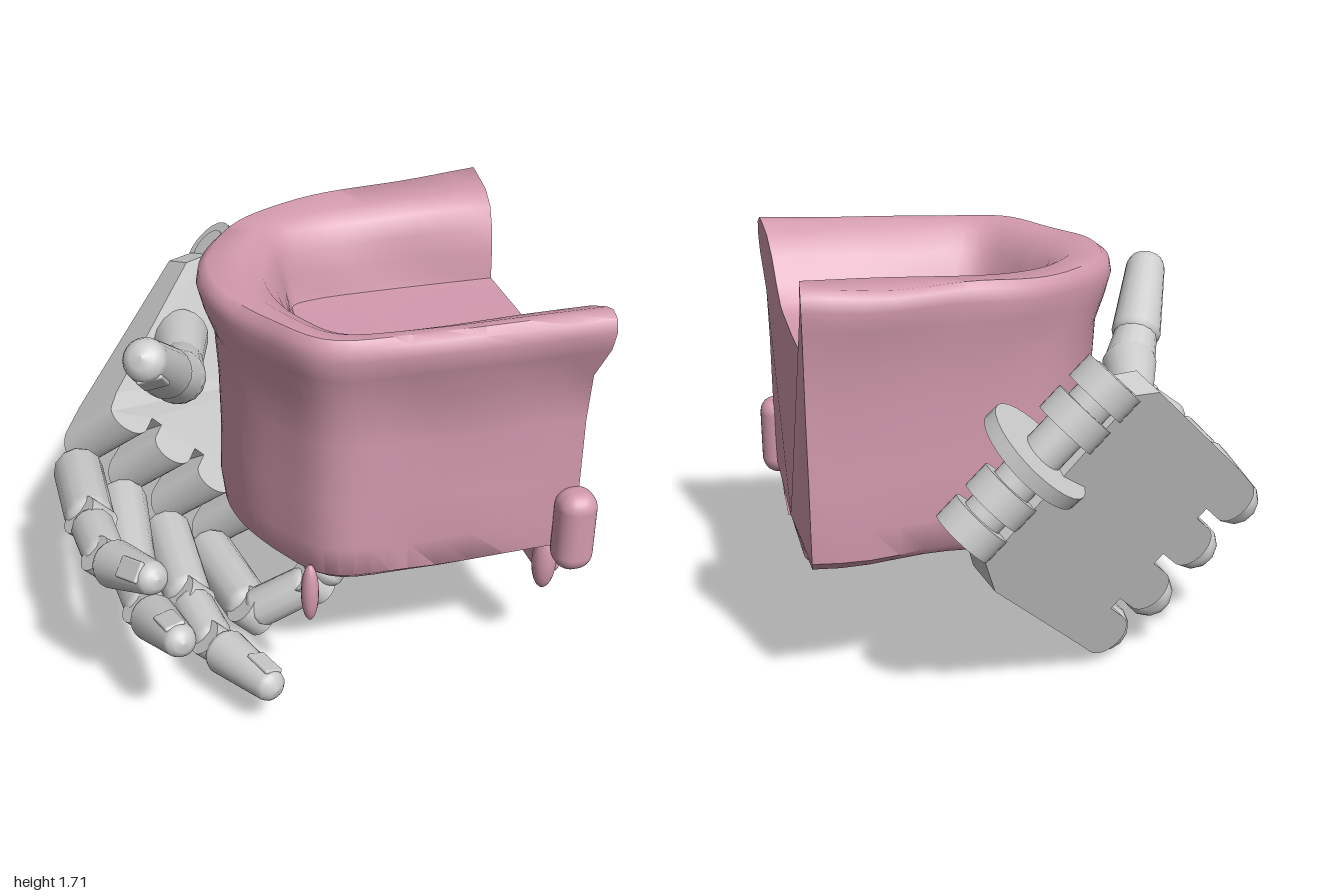
import * as THREE from 'three';
import { toCreasedNormals } from 'three/addons/utils/BufferGeometryUtils.js';
import { RoundedBoxGeometry } from 'three/addons/geometries/RoundedBoxGeometry.js';

const V = (x, y, z) => new THREE.Vector3(x, y, z);
const grey = new THREE.MeshStandardMaterial({ color: 0xcccccc, side: THREE.DoubleSide });
const pink = new THREE.MeshStandardMaterial({ color: 0xd39aae, side: THREE.DoubleSide });

function add(parent, name, geometry, material, pos = V(0, 0, 0)) {
  const mesh = new THREE.Mesh(geometry, material);
  mesh.name = name;
  mesh.position.copy(pos);
  parent.add(mesh);
  return mesh;
}

function fromIndexed(points, index) {
  const g = new THREE.BufferGeometry();
  g.setAttribute('position', new THREE.Float32BufferAttribute(points.flatMap(p => [p.x, p.y, p.z]), 3));
  g.setIndex(index);
  g.computeVertexNormals();
  return g;
}

// Tub armchair open towards +x: one profile swept around a U-shaped plan
function buildChair() {
  const chair = new THREE.Group();
  chair.name = 'armchair';
  const plan = pts => new THREE.CatmullRomCurve3(pts.map(([x, z]) => V(x, 0, z)));
  const outer = plan([[.94, -.535], [.4, -.49], [.1, -.44], [-.15, -.32], [-.33, -.12], [-.41, .08],
    [-.4, .33], [-.28, .6], [-.12, .83], [.2, .89], [.95, .94]]);
  const inner = plan([[.9, -.13], [.4, -.14], [.12, -.13], [.03, -.1], [.01, 0], [0, .15],
    [0, .3], [.01, .45], [.08, .55], [.4, .56], [.9, .5]]);
  // [fraction from outer to inner plan, height]
  const profile = [[.36, .575], [.2, .62], [.16, .75], [.17, .95], [.16, 1.2], [.12, 1.4], [.05, 1.54], [0, 1.62],
    [.02, 1.67], [.1, 1.695], [.4, 1.69], [.62, 1.65], [.76, 1.57], [.86, 1.47], [.94, 1.39], [1, 1.36]];
  const N = 48, pts = [], index = [], M = profile.length + 2;
  for (let i = 0; i <= N; i++) {
    const f = i / N, o = outer.getPoint(f), n = inner.getPoint(f);
    pts.push(V(Math.max(o.x, .1), .575, .2));
    profile.forEach(([t, y], j) => {
      // the +z arm is thinner and leans out, the other is fuller inside
      const shift = j > 9 ? .9 * t * (1 - t) * (1 - 2 * f) : y < 1.5 ? .14 * f * f : 0;
      const p = o.clone().lerp(n, t + shift);
      const wob = .008 * Math.sin(9 * p.x + 7 * y) * Math.cos(8 * p.z - 5 * y);
      const sag = .025 * (.5 - p.x) * (y > 1.5 ? 1 : 0);
      pts.push(V(p.x, y + wob - sag, p.z + wob));
    });
    pts.push(V(Math.max(n.x, .3), 1.355, .2));
  }
  for (let i = 0; i < N; i++) for (let j = 0; j < M - 1; j++) {
    const a = i * M + j, b = a + M;
    index.push(a, b, a + 1, b, b + 1, a + 1);
  }
  add(chair, 'shell', toCreasedNormals(fromIndexed(pts, index), .8), pink);

  // Flat end closing the two arms and the seat
  const end = [...pts.slice(0, M), ...pts.slice(N * M, N * M + M).reverse()];
  const flat = end.map(p => new THREE.Vector2(p.y, p.z));
  add(chair, 'seatFront', fromIndexed(end, THREE.ShapeUtils.triangulateShape(flat, []).flat()), pink);

  // Skirt, worn corner and sagging feet
  add(chair, 'skirt', new RoundedBoxGeometry(.1, .2, .8, 3, .03), pink, V(.865, .55, .36));
  add(chair, 'cornerLump', new RoundedBoxGeometry(.16, .35, .16, 4, .07), pink, V(.91, .725, .84));
  const blob = (name, x, y, z, sx, sy, sz) =>
    add(chair, name, new THREE.SphereGeometry(1, 18, 12), pink, V(x, y, z)).scale.set(sx, sy, sz);
  blob('frontFoot', .85, .51, .73, .05, .135, .05);
  blob('backFoot', -.13, .53, .72, .035, .13, .04);
  blob('underLump', .02, .57, -.2, .03, .04, .03);
  return chair;
}

// Rounded tapering link between two points
function link(parent, name, a, b, ra, rb, sides = 16) {
  const L = a.distanceTo(b);
  const pts = [[0, -.75 * ra], [.6 * ra, -.55 * ra], [.9 * ra, -.25 * ra], [ra, 0], [rb, L],
    [.88 * rb, L + .35 * rb], [.55 * rb, L + .65 * rb], [0, L + .8 * rb]];
  const m = add(parent, name, new THREE.LatheGeometry(pts.map(p => new THREE.Vector2(...p)), sides), grey, a);
  m.quaternion.setFromUnitVectors(V(0, 1, 0), b.clone().sub(a).normalize());
  return m;
}

function pin(parent, name, at, axis, r, len) {
  const m = add(parent, name, new THREE.CylinderGeometry(r, r, len, 28), grey, at);
  m.quaternion.setFromUnitVectors(V(0, 1, 0), axis.clone().normalize());
  return m;
}

function nail(parent, a, b, out, r) {
  const dir = b.clone().sub(a).normalize();
  const side = new THREE.Vector3().crossVectors(dir, out).normalize();
  const up = new THREE.Vector3().crossVectors(side, dir);
  const m = add(parent, 'nail', new RoundedBoxGeometry(r * 1.1, .13, .02, 2, .009), grey,
    a.clone().lerp(b, .84).addScaledVector(up, r * .86));
  m.quaternion.setFromRotationMatrix(new THREE.Matrix4().makeBasis(side, dir, up));
  m.rotateX(-.1);
}

function buildHand() {
  const hand = new THREE.Group();
  hand.name = 'hand';
  const across = V(.707, -.707, 0);

  // Palm frame: x across the knuckles, y towards the wrist, z out of the palm
  const palm = new THREE.Group();
  palm.name = 'palm';
  const along = V(.635, .635, -.44).normalize();
  palm.quaternion.setFromRotationMatrix(new THREE.Matrix4().makeBasis(across.clone().normalize(), along,
    new THREE.Vector3().crossVectors(across, along).normalize()));
  palm.position.set(-.61, .36, -.34);
  hand.add(palm);

  // Plate with four rounded prongs
  const s = new THREE.Shape();
  s.moveTo(-.49, .2);
  [-.3825, -.1275, .1275, .3825].forEach((u, i) => {
    s.lineTo(u - .1, .09);
    s.absarc(u, .09, .1, Math.PI, 2 * Math.PI, false);
    s.lineTo(u + .1, .2);
    if (i < 3) s.lineTo(u + .155, .2);
  });
  [[.49, .84], [.42, 1], [-.42, 1.04], [-.49, .95]].forEach(p => s.lineTo(...p));
  s.closePath();
  // Slant the knuckle end and thin the palm towards the wrist
  const plate = new THREE.ExtrudeGeometry(s, { depth: .25, bevelEnabled: false, curveSegments: 10 });
  const pos = plate.attributes.position;
  for (let i = 0; i < pos.count; i++) {
    const v = pos.getY(i), n = pos.getZ(i);
    pos.setY(i, v + .8 * n * Math.max(0, 1 - v / .4));
    pos.setZ(i, n * (1 - .4 * v));
  }
  plate.computeVertexNormals();
  add(palm, 'plate', plate, grey);

  // Wrist hinge: large tilted disc between ringed lobes
  const U = V(1, 0, 0);
  pin(palm, 'wristAxle', V(0, 1.08, .1), U, .085, .84);
  pin(palm, 'wristDisc', V(0, 1.09, .11), V(1, -.14, .2), .235, .06);
  [-.36, -.2, .2, .36].forEach(u => {
    pin(palm, 'wristLobe', V(u, 1.08, .1), U, .13, .11);
    add(palm, 'wristBracket', new THREE.BoxGeometry(.11, .16, .15), grey, V(u, 1.0, .075));
  });

  // Fingers: base link, two joints, tip
  const fingers = [
    ['indexFinger', [V(-.88, .63, -.24), V(-.9, .67, .22), V(-.89, .7, .54), V(-.77, .81, .84)], V(-.5, .7, .6)],
    ['middleFinger', [V(-.7, .45, -.24), V(-.745, .39, .24), V(-.745, .43, .55), V(-.685, .54, .89)], V(0, .9, .6)],
    ['ringFinger', [V(-.51, .25, -.24), V(-.515, .22, .24), V(-.47, .2, .53), V(-.33, .215, .85)], V(.5, .4, .8)],
    ['littleFinger', [V(-.32, .11, -.24), V(-.25, .12, .25), V(-.01, .29, .34), V(.23, .54, .28)], V(0, 0, 1)],
  ];
  fingers.forEach(([name, p, out]) => {
    const f = new THREE.Group();
    f.name = name;
    hand.add(f);
    link(f, 'baseLink', p[0], p[1].clone().lerp(p[0], .12), .105, .1, 12);
    pin(f, 'joint', p[1], across, .085, .13);
    link(f, 'middleLink', p[1].clone().lerp(p[2], .15), p[2].clone().lerp(p[1], .15), .088, .085, 12);
    pin(f, 'joint', p[2], across, .075, .13);
    link(f, 'tip', p[2].clone().lerp(p[3], .2), p[3], .095, .066, 20);
    nail(f, p[2], p[3], out, .076);
  });

  // Thumb: waisted base link and a straight tip
  const thumb = new THREE.Group();
  thumb.name = 'thumb';
  hand.add(thumb);
  const t = [V(-.37, 1.07, -.5), V(-.43, 1.12, -.18), V(-.49, 1.18, .04), V(-.56, 1.28, .17), V(-.685, 1.495, .44)];
  link(thumb, 'thumbRoot', t[0], t[1], .125, .09);
  link(thumb, 'thumbBase', t[1], t[2], .09, .115);
  link(thumb, 'thumbNeck', t[2], t[3], .11, .09);
  link(thumb, 'thumbTip', t[3], t[4], .105, .085, 20);
  nail(thumb, t[3], t[4], V(-.3, .3, .9), .092);
  return hand;
}

export function createModel() {
  const model = new THREE.Group();
  model.name = 'handHoldingArmchair';
  model.add(buildChair(), buildHand());
  return model;
}
